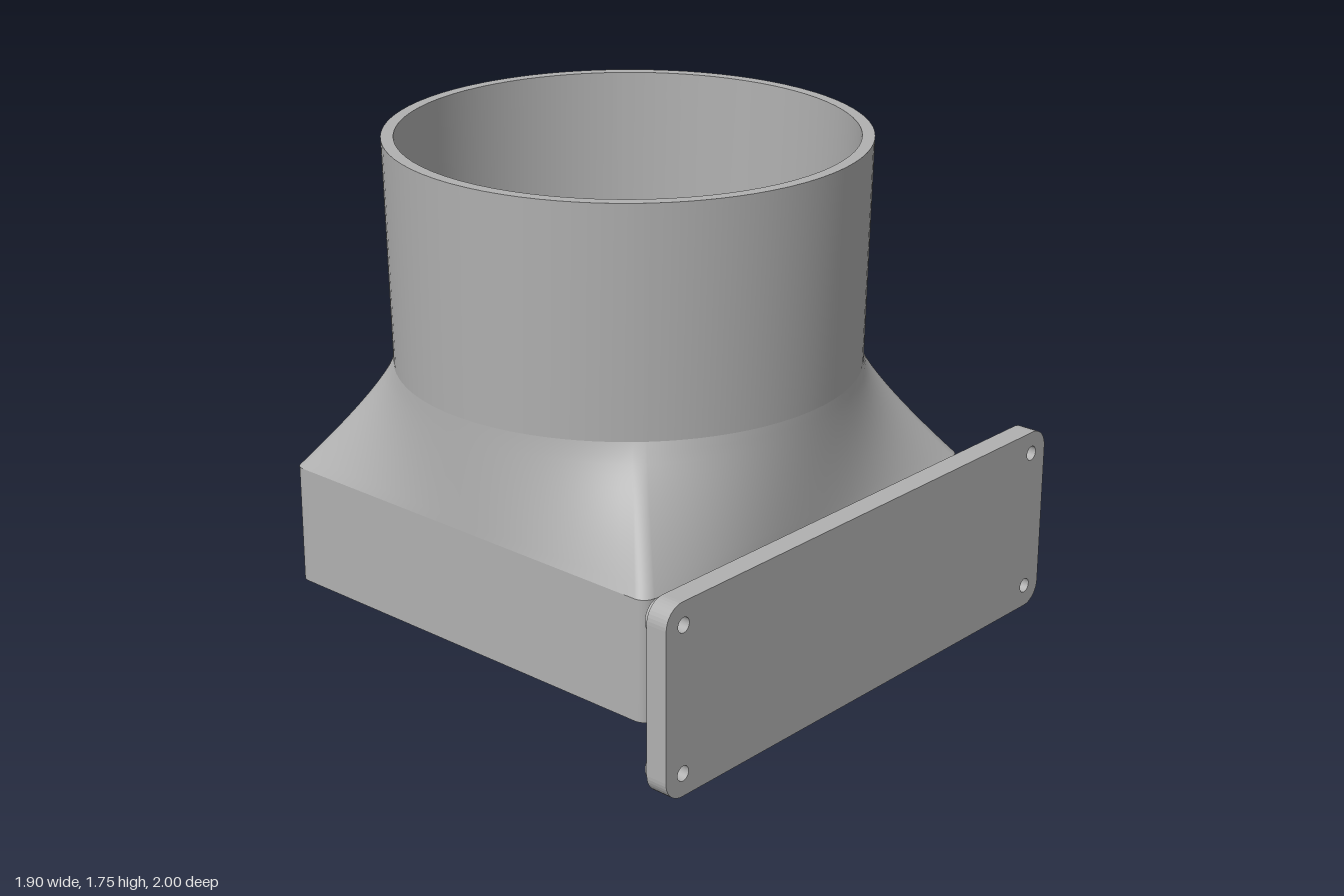
import * as THREE from 'three';
import { mergeGeometries } from 'three/addons/utils/BufferGeometryUtils.js';

const CX = -0.12;   // duct axis
const HALF = 0.83;  // half width of the square base

// Rounded rectangle as a counter-clockwise list of [u, v]
function roundedRing(hw, hh, r, arcN = 6, edgeN = 1) {
  const corners = [[1, 1], [-1, 1], [-1, -1], [1, -1]];
  const arcs = corners.map(([sx, sy], q) => Array.from({ length: arcN + 1 }, (_, i) => {
    const a = (q + i / arcN) * Math.PI / 2;
    return [sx * (hw - r) + r * Math.cos(a), sy * (hh - r) + r * Math.sin(a)];
  }));
  const pts = [];
  arcs.forEach((arc, q) => {
    pts.push(...arc);
    const a = arc[arcN], b = arcs[(q + 1) % 4][0];
    for (let i = 1; i < edgeN; i++) {
      const t = i / edgeN;
      pts.push([a[0] + (b[0] - a[0]) * t, a[1] + (b[1] - a[1]) * t]);
    }
  });
  return pts;
}

// Smooth skin through closed rings of [x, y, z]
function loft(rings) {
  const n = rings[0].length, index = [];
  for (let k = 0; k < rings.length - 1; k++) {
    for (let i = 0; i < n; i++) {
      const j = (i + 1) % n, a = k * n, b = a + n;
      index.push(a + i, b + i, a + j, b + i, b + j, a + j);
    }
  }
  const g = new THREE.BufferGeometry();
  g.setAttribute('position', new THREE.Float32BufferAttribute(rings.flat(2), 3));
  g.setIndex(index);
  g.computeVertexNormals();
  return g;
}

// Separate skins between neighbouring rings keep the edges sharp
function creasedLoft(rings) {
  return mergeGeometries(rings.slice(1).map((r, i) => loft([rings[i], r])));
}

// Duct section: s = 0 is the square, s = 1 the circle
function ductRing(y, s, half, radius, corner) {
  return roundedRing(half, half, corner, 8, 22).map(([u, v]) => {
    const d = Math.hypot(u, v), k = (1 - s) + s * radius / d;
    return [CX + u * k, y, v * k];
  });
}

function transition(half, radius, corner) {
  const steps = 12;
  return Array.from({ length: steps + 1 }, (_, i) => {
    const t = i / steps;
    return ductRing(0.555 + 0.395 * t, 1 - Math.pow(1 - t, 1.2), half, radius, corner);
  });
}

// Rounded plate, optionally pierced, extruded towards +x
function extrudeX(points, holes, depth) {
  const shape = new THREE.Shape(points.map(([u, v]) => new THREE.Vector2(u, v)));
  for (const [u, v, r] of holes) {
    shape.holes.push(new THREE.Path().absarc(u, v, r, 0, Math.PI * 2, true));
  }
  return new THREE.ExtrudeGeometry(shape, { depth, bevelEnabled: false, curveSegments: 24 })
    .rotateY(Math.PI / 2);
}

export function createModel() {
  const model = new THREE.Group();
  const grey = new THREE.MeshStandardMaterial({ color: 0xb0b0b0 });
  grey.name = 'grey plastic';
  const add = (name, geometry, parent = model) => {
    const mesh = new THREE.Mesh(geometry, grey);
    mesh.name = name;
    parent.add(mesh);
    return mesh;
  };

  // Hollow duct: square base, square-to-round transition, round collar
  const outer = { half: HALF, r: 0.813, top: 0.83, corner: 0.045 };
  const inner = { half: 0.79, r: 0.77, top: 0.787, corner: 0.02 };
  const sq = (o, y) => ductRing(y, 0, o.half, o.r, o.corner);
  const round = (o, y, r) => ductRing(y, 1, o.half, r, o.corner);
  add('squareBase', creasedLoft([
    sq(inner, 0.555), sq(inner, 0.125), sq(outer, 0.125), sq(outer, 0.555),
  ]));
  add('transition', mergeGeometries([
    loft(transition(outer.half, outer.r, outer.corner)),
    loft(transition(inner.half, inner.r, inner.corner).reverse()),
  ]));
  add('roundCollar', creasedLoft([
    round(outer, 0.95, outer.r), round(outer, 1.75, outer.top),
    round(inner, 1.75, inner.top), round(inner, 0.95, inner.r),
  ]));

  // Filleted neck between the base and the mounting plate
  const fillet = 0.065, x0 = 0.705, x1 = 0.872, neck = [];
  const neckRing = (x, e) => roundedRing(0.755 + e * 0.8, 0.13 + e, 0.07 + e * 0.8, 8)
    .map(([u, v]) => [x, 0.335 + v, u]);
  for (let i = 0; i <= 8; i++) {
    const a = i / 8 * Math.PI / 2;
    neck.push(neckRing(x0 + fillet * (1 - Math.cos(a)), fillet * (1 - Math.sin(a))));
  }
  for (let i = 0; i <= 8; i++) {
    const a = i / 8 * Math.PI / 2;
    neck.push(neckRing(x1 - fillet * (1 - Math.sin(a)), fillet * (1 - Math.cos(a))));
  }
  add('neck', loft(neck));

  // Mounting plate with four screw holes and raised bosses
  const plateY = 0.335, screws = [];
  for (const z of [-0.92, 0.92]) for (const y of [-0.255, 0.255]) screws.push([z, y]);
  add('mountingPlate', extrudeX(roundedRing(1, 0.335, 0.075, 10),
    screws.map(([z, y]) => [z, y, 0.026]), 0.08)).position.set(0.87, plateY, 0);
  const bossRing = roundedRing(0.06, 0.06, 0.06, 8);
  for (const [z, y] of screws) {
    add('screwBoss', extrudeX(bossRing, [[0, 0, 0.04]], 0.026))
      .position.set(0.845, plateY + y, z);
  }

  // Slotted lugs on the back of the base
  const lugRing = (hw, hh, r, z) => roundedRing(hw, hh, r, 4).map(([u, v]) => [u, v, z]);
  const lug = creasedLoft([
    lugRing(0.068, 0.165, 0.02, 0.002), lugRing(0.056, 0.153, 0.02, -0.012),
    lugRing(0.054, 0.151, 0.02, -0.03), lugRing(0.044, 0.141, 0.015, -0.042),
    lugRing(0.03, 0.115, 0.005, -0.042), lugRing(0.03, 0.115, 0.005, 0.002),
  ]);
  for (const x of [-0.715, 0.47]) add('slottedLug', lug).position.set(x, 0.34, -HALF);

  return model;
}
